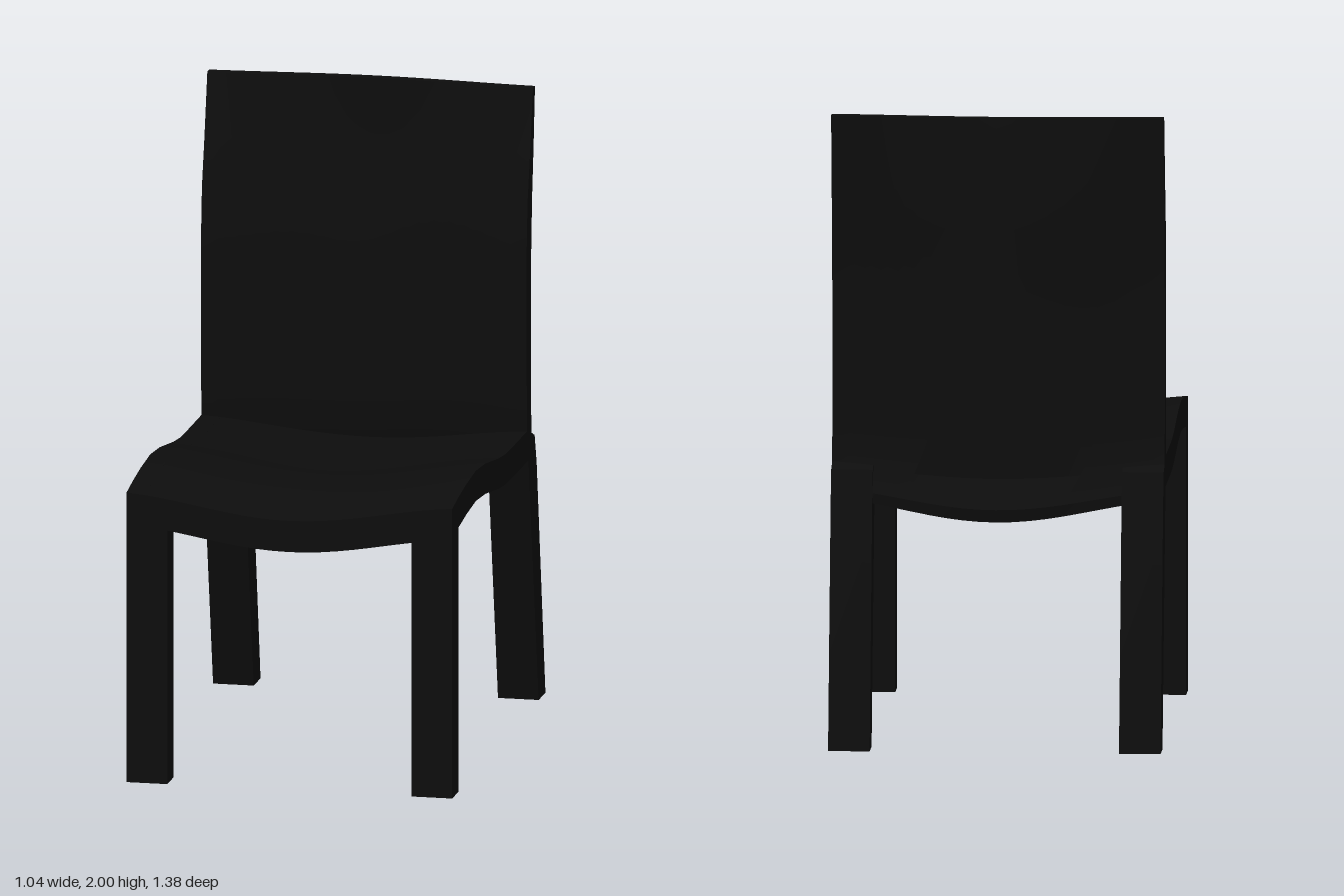
import * as THREE from 'three';
import { toCreasedNormals } from 'three/addons/utils/BufferGeometryUtils.js';

const black = new THREE.MeshStandardMaterial({ color: 0x0d0d0d });
const HALF = 0.52, INNER = 0.39;

// How far the sheet is dished at x: 0 at the sides, 1 in the middle
const dish = (x) => (Math.cos((Math.PI * x) / 0.6) - Math.cos((Math.PI * HALF) / 0.6)) / (1 - Math.cos((Math.PI * HALF) / 0.6));

// Closed [z, y] section swept along x, blending from its side shape to its middle shape
function sweep(name, side, middle, x0, x1, steps) {
  if (THREE.ShapeUtils.area(side.map(([z, y]) => new THREE.Vector2(z, y))) < 0) {
    side = [...side].reverse();
    middle = [...middle].reverse();
  }
  const n = side.length, pos = [], idx = [];
  for (let s = 0; s <= steps; s++) {
    const x = x0 + ((x1 - x0) * s) / steps, w = dish(x);
    side.forEach(([z, y], i) => pos.push(x, y + (middle[i][1] - y) * w, z + (middle[i][0] - z) * w));
  }
  for (let s = 0; s < steps; s++) {
    for (let i = 0; i < n; i++) {
      const a = s * n + i, b = s * n + ((i + 1) % n);
      idx.push(a, a + n, b + n, a, b + n, b);
    }
  }
  const last = steps * n;
  const caps = THREE.ShapeUtils.triangulateShape(side.map(([z, y]) => new THREE.Vector2(z, y)), []);
  for (const [a, b, c] of caps) idx.push(a, b, c, last + a, last + c, last + b);
  const geo = new THREE.BufferGeometry();
  geo.setAttribute('position', new THREE.Float32BufferAttribute(pos, 3));
  geo.setIndex(idx);
  const mesh = new THREE.Mesh(toCreasedNormals(geo, 0.5), black);
  mesh.name = name;
  return mesh;
}

export function createModel() {
  const chair = new THREE.Group();
  chair.name = 'chair';

  // Wavy seat line from front to back
  const wave = [[0.6, 0.945], [0.48, 0.96], [0.34, 0.97], [0.2, 0.96], [0.1, 0.945], [0, 0.93], [-0.1, 0.92], [-0.2, 0.918], [-0.46, 0.918]];
  const lower = (pts, d) => pts.map(([z, y]) => [z, y - d]);

  // Dished seat panel with a deep front lip
  const seat = [[0.69, 0.93], ...wave, ...lower(wave, 0.035).reverse(), [0.6, 0.84], [0.69, 0.83]];
  const seatMiddle = seat.map(([z, y]) => [z < -0.4 ? z - 0.075 : z, y - 0.065]);
  chair.add(sweep('seat', seat, seatMiddle, -HALF, HALF, 20));

  // Side rails below the seat edges
  const railTop = [[0.69, 0.93], ...wave];
  const rail = [...railTop, ...lower(railTop, 0.097).reverse()];
  const railMiddle = lower(rail, 0.065);
  chair.add(sweep('leftRail', rail, railMiddle, 0.46, HALF, 1));
  chair.add(sweep('rightRail', rail, railMiddle, -HALF, -0.46, 1));

  // Curved backrest reaching down behind the seat
  const back = [
    [-0.505, 2], [-0.462, 1.8], [-0.425, 1.65], [-0.408, 1.45], [-0.41, 1.2], [-0.415, 1], [-0.42, 0.88], [-0.445, 0.79],
    [-0.52, 0.79], [-0.52, 0.82], [-0.485, 0.88], [-0.477, 1], [-0.475, 1.2], [-0.477, 1.45], [-0.492, 1.65], [-0.513, 1.8], [-0.535, 2],
  ];
  const backMiddle = [
    [-0.535, 2], [-0.53, 1.8], [-0.515, 1.65], [-0.495, 1.45], [-0.495, 1.2], [-0.498, 1], [-0.502, 0.87], [-0.55, 0.73],
    [-0.612, 0.73], [-0.62, 0.77], [-0.565, 0.86], [-0.562, 1], [-0.558, 1.2], [-0.558, 1.45], [-0.58, 1.65], [-0.58, 1.8], [-0.567, 2],
  ];
  chair.add(sweep('backrest', back, backMiddle, -HALF, HALF, 20));

  // Legs: upright in front, raked at the rear
  const frontLeg = [[0.69, 0], [0.69, 0.88], [0.6, 0.88], [0.6, 0]];
  const rearLeg = [[-0.59, 0.015], [-0.445, 0.785], [-0.43, 0.87], [-0.48, 0.9], [-0.53, 0.88], [-0.56, 0.785], [-0.69, 0.015]];
  for (const [label, x] of [['Left', INNER], ['Right', -HALF]]) {
    const width = HALF - INNER;
    chair.add(sweep('front' + label + 'Leg', frontLeg, frontLeg, x, x + width, 1));
    chair.add(sweep('rear' + label + 'Leg', rearLeg, rearLeg, x, x + width, 1));
  }
  return chair;
}
